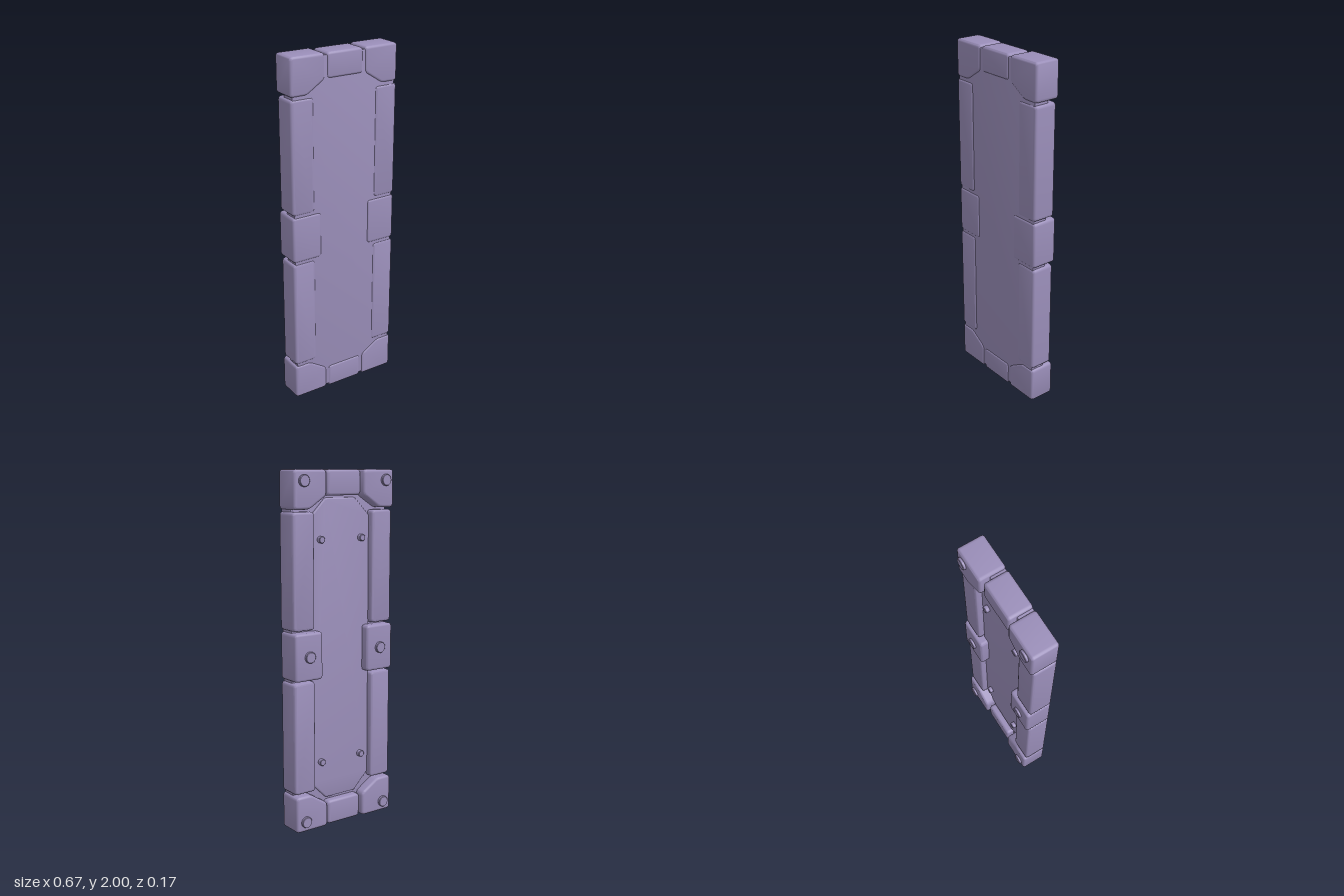
import * as THREE from 'three';
import { toCreasedNormals } from 'three/addons/utils/BufferGeometryUtils.js';

const purple = new THREE.MeshStandardMaterial({ color: 0x9a8eb9 });
purple.name = 'dusty purple';

// Outline with every corner softened by a small curve
function roundedShape(points, r) {
  const shape = new THREE.Shape();
  const v = points.map(([x, y]) => new THREE.Vector2(x, y));
  v.forEach((p, i) => {
    const prev = v[(i + v.length - 1) % v.length], next = v[(i + 1) % v.length];
    const a = p.clone().add(prev.clone().sub(p).setLength(r));
    const b = p.clone().add(next.clone().sub(p).setLength(r));
    if (i === 0) shape.moveTo(a.x, a.y); else shape.lineTo(a.x, a.y);
    shape.quadraticCurveTo(p.x, p.y, b.x, b.y);
  });
  shape.closePath();
  return shape;
}

// Soft-edged block between two depths
function block(name, points, back, front, bevel = 0.014, r = 0.02) {
  const geo = new THREE.ExtrudeGeometry(roundedShape(points, r), {
    depth: front - back - 2 * bevel, curveSegments: 4,
    bevelEnabled: true, bevelThickness: bevel, bevelSize: bevel,
    bevelOffset: -bevel, bevelSegments: 3,
  });
  geo.translate(0, 0, back + bevel);
  const mesh = new THREE.Mesh(toCreasedNormals(geo, 0.7), purple);
  mesh.name = name;
  return mesh;
}

const rect = (x0, x1, y0, y1) => [[x0, y0], [x1, y0], [x1, y1], [x0, y1]];

// Round stud on the back, with a slightly narrower outer end
function stud(name, x, y, radius, back, front) {
  const geo = new THREE.CylinderGeometry(radius, radius * 0.85, 0.004, 16);
  const depth = front - back;
  const profile = [[0, 0], [radius, 0], [radius, depth - 0.003], [radius - 0.003, depth], [0, depth]]
    .map(([px, py]) => new THREE.Vector2(px, py));
  geo.dispose();
  const lathe = toCreasedNormals(new THREE.LatheGeometry(profile, 16), 0.6);
  lathe.rotateX(-Math.PI / 2);
  const mesh = new THREE.Mesh(lathe, purple);
  mesh.position.set(x, y, front);
  mesh.name = name;
  return mesh;
}

export function createModel() {
  const model = new THREE.Group();
  model.name = 'armouredPanel';
  const frame = new THREE.Group();
  frame.name = 'frame';
  frame.position.y = 1;
  model.add(frame);

  // Core slab, and the octagonal plate raised on its back
  frame.add(block('coreSlab', rect(-0.32, 0.32, -0.985, 0.985), -0.01, 0.075, 0.004));
  const octagon = [
    [0.1, 0.85], [0.2, 0.75], [0.2, -0.75], [0.1, -0.85],
    [-0.1, -0.85], [-0.2, -0.75], [-0.2, 0.75], [-0.1, 0.85],
  ];
  frame.add(block('backPlate', octagon, -0.02, 0.02, 0.008, 0.01));

  for (const sx of [1, -1]) {
    const side = sx > 0 ? 'left' : 'right';

    // Middle block with its stud
    frame.add(block(side + 'MiddleBlock', rect(sx * 0.153, sx * 0.333, -0.133, 0.133), -0.07, 0.08));
    frame.add(stud(side + 'MiddleStud', sx * 0.242, 0, 0.032, -0.085, -0.068));

    for (const sy of [1, -1]) {
      const name = (sy > 0 ? 'upper' : 'lower') + (side === 'left' ? 'Left' : 'Right');

      // Corner block with its inner corner cut off
      const corner = [[0.333, 1], [0.333, 0.792], [0.235, 0.792], [0.125, 0.862], [0.125, 1]];
      frame.add(block(name + 'Corner', corner.map(([x, y]) => [x * sx, y * sy]), -0.07, 0.08));
      frame.add(stud(name + 'CornerStud', sx * 0.274, sy * 0.942, 0.032, -0.085, -0.068));

      // Side rail
      frame.add(block(name + 'Rail', rect(sx * 0.195, sx * 0.333, sy * 0.144, sy * 0.78), -0.055, 0.08));

      // Small screw on the back plate
      frame.add(stud(name + 'Screw', sx * 0.137, sy * 0.628, 0.019, -0.044, -0.018));
    }
  }

  // Top and bottom bars
  for (const sy of [1, -1]) {
    frame.add(block(sy > 0 ? 'topBar' : 'bottomBar', rect(-0.112, 0.112, sy * 0.862, sy), -0.057, 0.08));
  }

  // Stud geometry is turned so its head faces the back
  return model;
}
